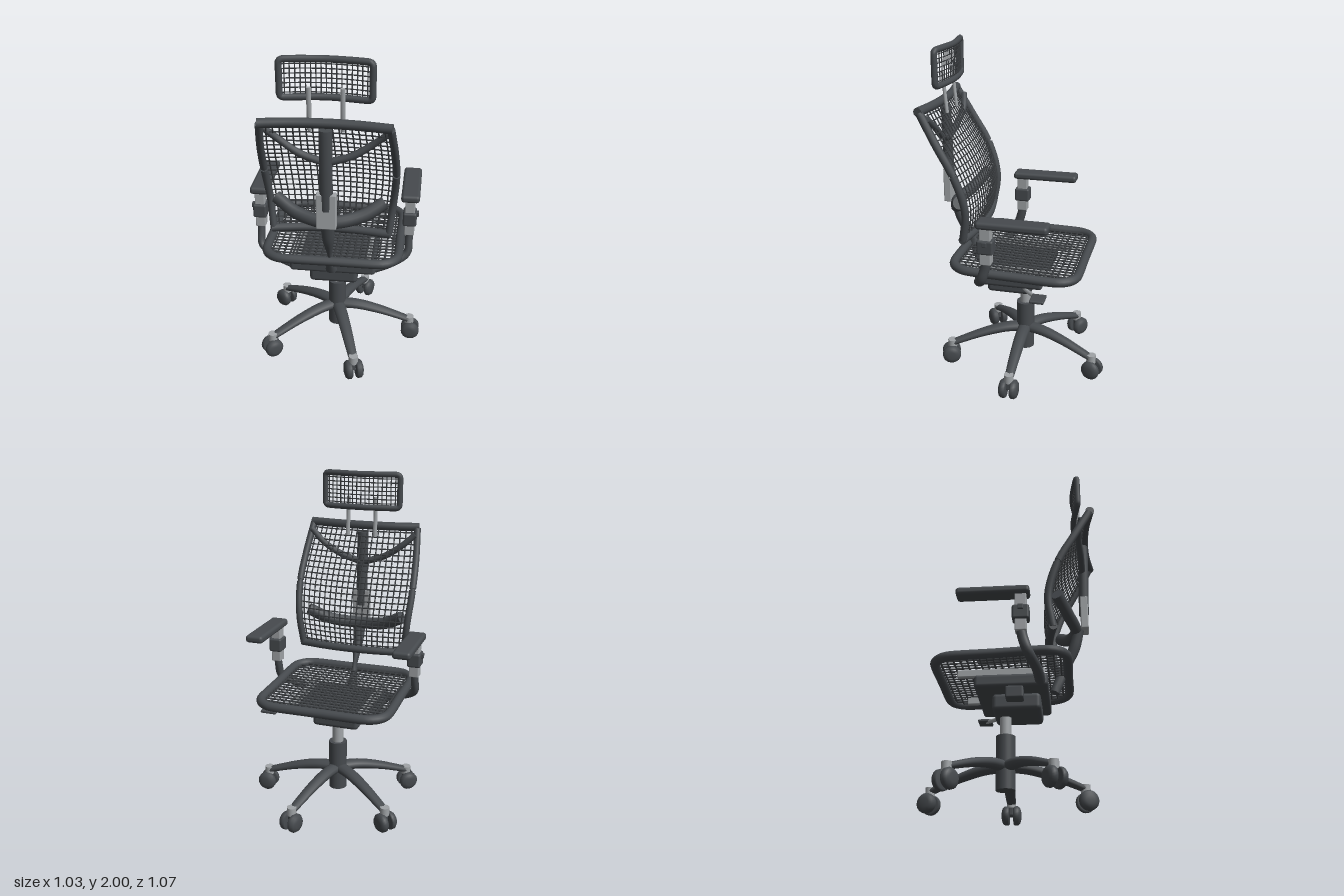
import * as THREE from 'three';
import { mergeGeometries } from 'three/addons/utils/BufferGeometryUtils.js';
import { RoundedBoxGeometry } from 'three/addons/geometries/RoundedBoxGeometry.js';

const material = (name, color) => Object.assign(new THREE.MeshStandardMaterial({ color }), { name });
const V = (x, y, z) => new THREE.Vector3(x, y, z);

export function createModel() {
  const dark = material('dark plastic', 0x464a4e);
  const weave = material('mesh weave', 0x3d4043);
  const metal = material('grey metal', 0xa0a4a7);
  const root = new THREE.Group();
  root.name = 'officeChair';
  const chair = new THREE.Group();
  chair.name = 'chair';
  chair.position.x = -0.015;
  root.add(chair);

  const add = (name, geometry, mat, parent = chair) => {
    const mesh = new THREE.Mesh(geometry, mat);
    mesh.name = name;
    parent.add(mesh);
    return mesh;
  };
  const box = (name, mat, x, y, z, w, h, d, r = 0.01, parent = chair) => {
    const m = add(name, new RoundedBoxGeometry(w, h, d, 2, r), mat, parent);
    m.position.set(x, y, z);
    return m;
  };
  const cylinder = (name, mat, x, y, z, r, h, parent = chair) => {
    const m = add(name, new THREE.CylinderGeometry(r, r, h, 24), mat, parent);
    m.position.set(x, y, z);
    return m;
  };

  // Capped tube along a curve; radii are [width, height] pairs spread along it, ref sets the width direction
  function sweep(points, radii, ref, steps = 16, sides = 12) {
    const curve = new THREE.CatmullRomCurve3(points);
    const pos = [], index = [], rings = [];
    for (let i = 0; i <= steps; i++) {
      const t = i / steps, f = t * (radii.length - 1);
      const k = Math.min(Math.floor(f), Math.max(radii.length - 2, 0));
      const a = radii[k], b = radii[Math.min(k + 1, radii.length - 1)];
      const w = THREE.MathUtils.lerp(a[0], b[0], f - k), h = THREE.MathUtils.lerp(a[1], b[1], f - k);
      const c = curve.getPoint(t), tan = curve.getTangent(t);
      const s = ref.clone().addScaledVector(tan, -ref.dot(tan)).normalize();
      const n = tan.clone().cross(s);
      const ring = [];
      for (let j = 0; j < sides; j++) {
        const g = j / sides * Math.PI * 2;
        ring.push(c.clone().addScaledVector(s, Math.cos(g) * w).addScaledVector(n, Math.sin(g) * h));
      }
      rings.push(ring);
      ring.forEach(p => pos.push(p.x, p.y, p.z));
    }
    for (let i = 0; i < steps; i++) for (let j = 0; j < sides; j++) {
      const a = i * sides + j, b = i * sides + (j + 1) % sides;
      index.push(a, b, a + sides, b, b + sides, a + sides);
    }
    [rings[0], rings[steps]].forEach((ring, end) => {
      const o = pos.length / 3;
      ring.forEach(p => pos.push(p.x, p.y, p.z));
      for (let j = 1; j < sides - 1; j++) index.push(o, ...(end ? [o + j, o + j + 1] : [o + j + 1, o + j]));
    });
    const g = new THREE.BufferGeometry();
    g.setAttribute('position', new THREE.Float32BufferAttribute(pos, 3));
    g.setIndex(index);
    g.computeVertexNormals();
    return g;
  }

  // Woven panel of thin bars over surface(u, v), u and v from -1 to 1; trims give each bar's half length
  function weavePanel(name, surface, nu, nv, r, trimU = () => 1, trimV = () => 1) {
    const bars = [];
    const bar = (at, segs) => {
      const pts = Array.from({ length: segs + 1 }, (_, i) => at(-1 + 2 * i / segs));
      bars.push(new THREE.TubeGeometry(new THREE.CatmullRomCurve3(pts), segs, r, 4));
    };
    for (let i = 1; i < nu; i++) {
      const u = -1 + 2 * i / nu;
      bar(t => surface(u, t * trimU(u)), 14);
    }
    for (let i = 1; i < nv; i++) {
      const v = -1 + 2 * i / nv;
      bar(t => surface(t * trimV(v), v), 12);
    }
    add(name, mergeGeometries(bars), weave);
  }

  // Closed frame tube around a rounded rectangle, mapped by place(x, y)
  function loopFrame(name, hw, hh, corner, r, place) {
    const pts = [];
    [[1, 1, 0], [-1, 1, 1], [-1, -1, 2], [1, -1, 3]].forEach(([sx, sy, q]) => {
      for (let i = 0; i <= 5; i++) {
        const a = (q + i / 5) * Math.PI / 2;
        pts.push(place(sx * (hw - corner) + Math.cos(a) * corner, sy * (hh - corner) + Math.sin(a) * corner));
      }
      // midpoint of the following side keeps it even
      const m = [[0, hh], [-hw, 0], [0, -hh], [hw, 0]][q];
      pts.push(place(m[0], m[1]));
    });
    add(name, new THREE.TubeGeometry(new THREE.CatmullRomCurve3(pts, true, 'centripetal'), 128, r, 12, true), dark);
  }

  // Seat
  const SW = 0.388, SD = 0.367, SR = 0.12;
  const seatPlace = (x, z) => V(x, 0.745 + 0.03 * z + 0.02 * z * z, z - 0.022);
  const cut = (a, across, along) => {
    const e = Math.max(0, Math.abs(a) * across - (across - SR));
    return (along - SR + Math.sqrt(SR * SR - e * e)) / along;
  };
  loopFrame('seatFrame', SW, SD, SR, 0.027, seatPlace);
  weavePanel('seatMesh', (u, v) => seatPlace(u * SW, v * SD), 21, 20, 0.0058, u => cut(u, SW, SD), v => cut(v, SD, SW));

  // Backrest: side profile holds half width, height and depth
  const side = new THREE.CatmullRomCurve3([
    V(0.332, 0.92, 0.272), V(0.35, 1.1, 0.25), V(0.365, 1.3, 0.305), V(0.358, 1.48, 0.405), V(0.338, 1.66, 0.505)]);
  const backSurface = (u, v) => {
    const p = side.getPoint((v + 1) / 2);
    return V(p.x * u, p.y, p.z - 0.035 * (1 - u * u));
  };
  const railPoints = v => [-1, -0.5, 0, 0.5, 1].map(u => backSurface(u * 1.03, v));
  add('backTopRail', sweep(railPoints(1), [[0.026, 0.026]], V(0, 1, 0)), dark);
  add('backBottomRail', sweep(railPoints(-1), [[0.024, 0.024]], V(0, 1, 0)), dark);
  for (const s of [-1, 1]) {
    for (const [name, a, b] of [['backLowerSide', -1, 0.02], ['backUpperSide', 0.05, 0.98]]) {
      const pts = Array.from({ length: 7 }, (_, i) => backSurface(s, a + (b - a) * i / 6));
      add(name, sweep(pts, [[0.021, 0.023]], V(1, 0, 0)), dark);
    }
    add('backSideJoint', sweep([-0.02, 0.1].map(v => backSurface(s, v)), [[0.015, 0.015]], V(1, 0, 0), 2), dark);
  }
  weavePanel('backMesh', backSurface, 20, 22, 0.0042);

  // Spine, its grey sleeve and the tapering lower stem
  add('spine', sweep([V(0, 1.62, 0.462), V(0, 1.4, 0.458), V(0, 1.15, 0.45)], [[0.036, 0.03]], V(1, 0, 0)), dark);
  box('spineSleeve', metal, 0, 1.145, 0.453, 0.11, 0.21, 0.045, 0.006);
  add('lowerStem', sweep([V(0, 1.06, 0.42), V(0, 0.93, 0.385), V(0, 0.79, 0.32), V(0, 0.655, 0.265)],
    [[0.042, 0.03], [0.034, 0.034], [0.012, 0.028], [0.034, 0.03]], V(1, 0, 0)), dark);
  add('lumbarSupport', sweep([V(-0.305, 1.135, 0.3), V(-0.18, 1.07, 0.355), V(0, 1.045, 0.4), V(0.18, 1.07, 0.355), V(0.305, 1.135, 0.3)],
    [[0.038, 0.034]], V(0, 1, 0), 24), dark);
  for (const s of [-1, 1]) add('upperBrace', sweep([V(0, 1.43, 0.45), V(s * 0.14, 1.475, 0.445), V(s * 0.25, 1.545, 0.435), V(s * 0.335, 1.62, 0.455)],
    [[0.021, 0.021], [0.018, 0.018]], V(0, 0, 1)), dark);

  // Headrest on two rods
  const headPlace = (x, y) => V(x, 1.88 + y, 0.408 + 0.55 * x * x);
  loopFrame('headrestFrame', 0.238, 0.1, 0.02, 0.018, headPlace);
  weavePanel('headrestMesh', (u, v) => headPlace(u * 0.238, v * 0.1), 18, 8, 0.0034);
  for (const s of [-1, 1]) add('headrestRod', sweep([V(s * 0.0875, 1.84, 0.442), V(s * 0.0875, 1.72, 0.436), V(s * 0.0875, 1.6, 0.425)],
    [[0.013, 0.01]], V(1, 0, 0)), metal);

  // Armrests
  for (const s of [-1, 1]) {
    const arm = new THREE.Group();
    arm.name = s > 0 ? 'leftArmrest' : 'rightArmrest';
    chair.add(arm);
    box('armPad', dark, s * 0.443, 1.082, -0.05, 0.108, 0.045, 0.408, 0.018, arm);
    box('armPost', metal, s * 0.443, 0.955, 0.103, 0.058, 0.23, 0.064, 0.005, arm);
    box('armClamp', dark, s * 0.443, 0.948, 0.103, 0.08, 0.085, 0.095, 0.012, arm);
    box('armButton', dark, s * 0.485, 0.972, 0.103, 0.02, 0.03, 0.03, 0.004, arm);
    add('armBracket', sweep([V(s * 0.443, 0.88, 0.1), V(s * 0.443, 0.81, 0.112), V(s * 0.435, 0.725, 0.14), V(s * 0.34, 0.67, 0.18), V(s * 0.235, 0.63, 0.195)],
      [[0.028, 0.022], [0.03, 0.026]], V(0, 0, 1), 24), dark, arm);
  }

  // Mechanism under the seat
  box('seatPlate', dark, 0, 0.643, 0.03, 0.512, 0.075, 0.41, 0.02);
  box('tiltHousing', dark, 0, 0.56, 0.052, 0.29, 0.1, 0.275, 0.025);
  box('tensionKnob', dark, -0.22, 0.572, 0.05, 0.085, 0.07, 0.1, 0.01);
  for (const s of [-1, 1]) box('seatSlider', metal, s * 0.215, 0.7, -0.026, 0.03, 0.042, 0.49, 0.005);
  add('heightLever', sweep([V(0.13, 0.58, -0.02), V(0.25, 0.597, -0.085), V(0.36, 0.615, -0.17)], [[0.012, 0.012]], V(0, 1, 0)), metal);
  box('leverPaddle', dark, 0.378, 0.618, -0.18, 0.1, 0.018, 0.085, 0.007);

  // Gas column and five-legged base
  cylinder('piston', metal, 0, 0.46, -0.02, 0.033, 0.14);
  cylinder('columnSleeve', dark, 0, 0.245, -0.02, 0.055, 0.31);
  const wheel = new THREE.LatheGeometry([[0, -0.022], [0.05, -0.022], [0.057, -0.014], [0.057, 0.004], [0.046, 0.018], [0.025, 0.024], [0, 0.024]]
    .map(([x, y]) => new THREE.Vector2(x, y)), 24);
  for (let k = 0; k < 5; k++) {
    const leg = new THREE.Group();
    leg.name = 'baseLeg' + (k + 1);
    leg.position.set(0, 0, -0.02);
    leg.rotation.y = (k * 72 + 1) * Math.PI / 180;
    chair.add(leg);
    add('leg', sweep([V(0, 0.225, 0), V(0.13, 0.22, 0), V(0.27, 0.19, 0), V(0.39, 0.152, 0), V(0.475, 0.122, 0)],
      [[0.042, 0.033], [0.038, 0.029], [0.032, 0.022], [0.026, 0.018]], V(0, 0, 1), 20), dark, leg);
    cylinder('casterStem', metal, 0.465, 0.125, 0, 0.028, 0.05, leg);
    cylinder('casterAxle', dark, 0.47, 0.06, 0, 0.012, 0.06, leg).rotation.x = Math.PI / 2;
    box('casterNeck', dark, 0.465, 0.085, 0, 0.045, 0.06, 0.022, 0.005, leg);
    for (const s of [-1, 1]) {
      const w = add('casterWheel', wheel, dark, leg);
      w.position.set(0.472, 0.057, s * 0.034);
      w.rotation.x = s * Math.PI / 2;
    }
  }
  return root;
}
